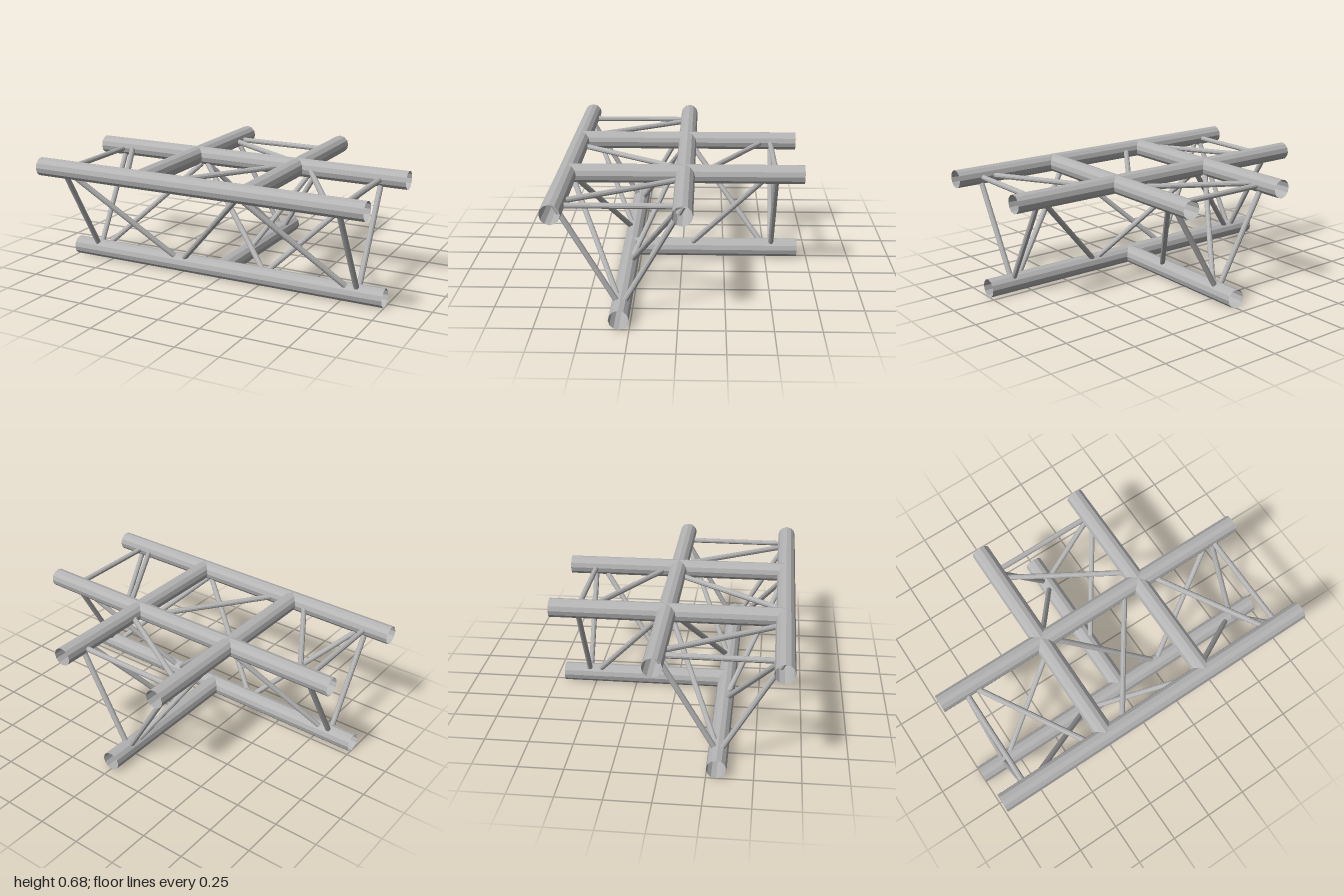
import * as THREE from 'three';

export function createModel() {
  const model = new THREE.Group();
  model.name = 'trussJunction';
  const metal = new THREE.MeshStandardMaterial({ color: 0xb4b4b4, side: THREE.DoubleSide, flatShading: true });
  metal.name = 'aluminium';

  const CHORD_R = 0.054, BRACE_R = 0.016;
  const TOP = 0.63, LOW = 0.054;              // chord axis heights
  const FRONT = 0.635, BACK = -0.025, MID = 0.305; // z of the cross truss chords
  const SIDE = 0.33, END = -0.69;             // x of the rear arm chords, z of its end
  const V = (x, y, z) => new THREE.Vector3(x, y, z);

  // Open thin-walled tube between two points
  function tube(name, a, b, radius, sides) {
    const dir = b.clone().sub(a);
    const mesh = new THREE.Mesh(new THREE.CylinderGeometry(radius, radius, dir.length(), sides, 1, true), metal);
    mesh.name = name;
    mesh.position.copy(a).add(b).multiplyScalar(0.5);
    mesh.quaternion.setFromUnitVectors(V(0, 1, 0), dir.normalize());
    model.add(mesh);
  }
  const chord = (name, a, b) => tube(name, a, b, CHORD_R, 12);
  const brace = (name, a, b) => tube(name, a, b, BRACE_R, 10);

  // Main chords of the cross truss
  chord('frontTopChord', V(-1, TOP, FRONT), V(1, TOP, FRONT));
  chord('backTopChord', V(-1, TOP, BACK), V(1, TOP, BACK));
  chord('bottomChord', V(-1, LOW, MID), V(1, LOW, MID));

  // Chords of the rear arm
  for (const s of [-1, 1]) chord('armTopChord', V(s * SIDE, TOP, END), V(s * SIDE, TOP, FRONT));
  chord('armBottomChord', V(0, LOW, END), V(0, LOW, MID));

  // Triangular frames near the three open ends
  const frame = (p) => p.forEach((a, i) => brace('frameStrut', a, p[(i + 1) % 3]));
  for (const x of [-0.845, 0.845]) {
    frame([V(x, TOP - 0.005, FRONT), V(x, LOW, MID), V(x, TOP - 0.005, BACK)]);
  }
  frame([V(-SIDE, TOP - 0.005, -0.535), V(0, LOW, -0.535), V(SIDE, TOP - 0.005, -0.535)]);

  // Diagonals stop just inside the chord walls
  const hi = TOP - 0.042, lo = LOW + 0.042, inset = 0.025;

  // Front and back faces of the cross truss: [top x, bottom x]
  for (const [t, b] of [[-0.79, -0.3], [0.26, -0.23], [0.29, 0.78]]) {
    brace('frontDiagonal', V(t, hi, FRONT - inset), V(b, lo, MID + inset));
  }
  for (const [t, b] of [[-0.29, -0.78], [-0.25, 0.25], [0.79, 0.3]]) {
    brace('backDiagonal', V(t, hi, BACK + inset), V(b, lo, MID - inset));
  }
  // Top face: [back x, front x]
  for (const [a, b] of [[-0.78, -0.44], [0.21, -0.2], [0.43, 0.77]]) {
    brace('topDiagonal', V(a, TOP - 0.005, BACK + 0.04), V(b, TOP - 0.005, FRONT - 0.04));
  }

  // Rear arm diagonals
  brace('armLeftDiagonal', V(SIDE - inset, hi, -0.465), V(inset, lo, -0.065));
  brace('armRightDiagonal', V(-SIDE + inset, hi, -0.065), V(-inset, lo, -0.465));
  brace('armTopDiagonal', V(-SIDE + 0.04, TOP - 0.005, -0.47), V(SIDE - 0.04, TOP - 0.005, -0.12));

  return model;
}
